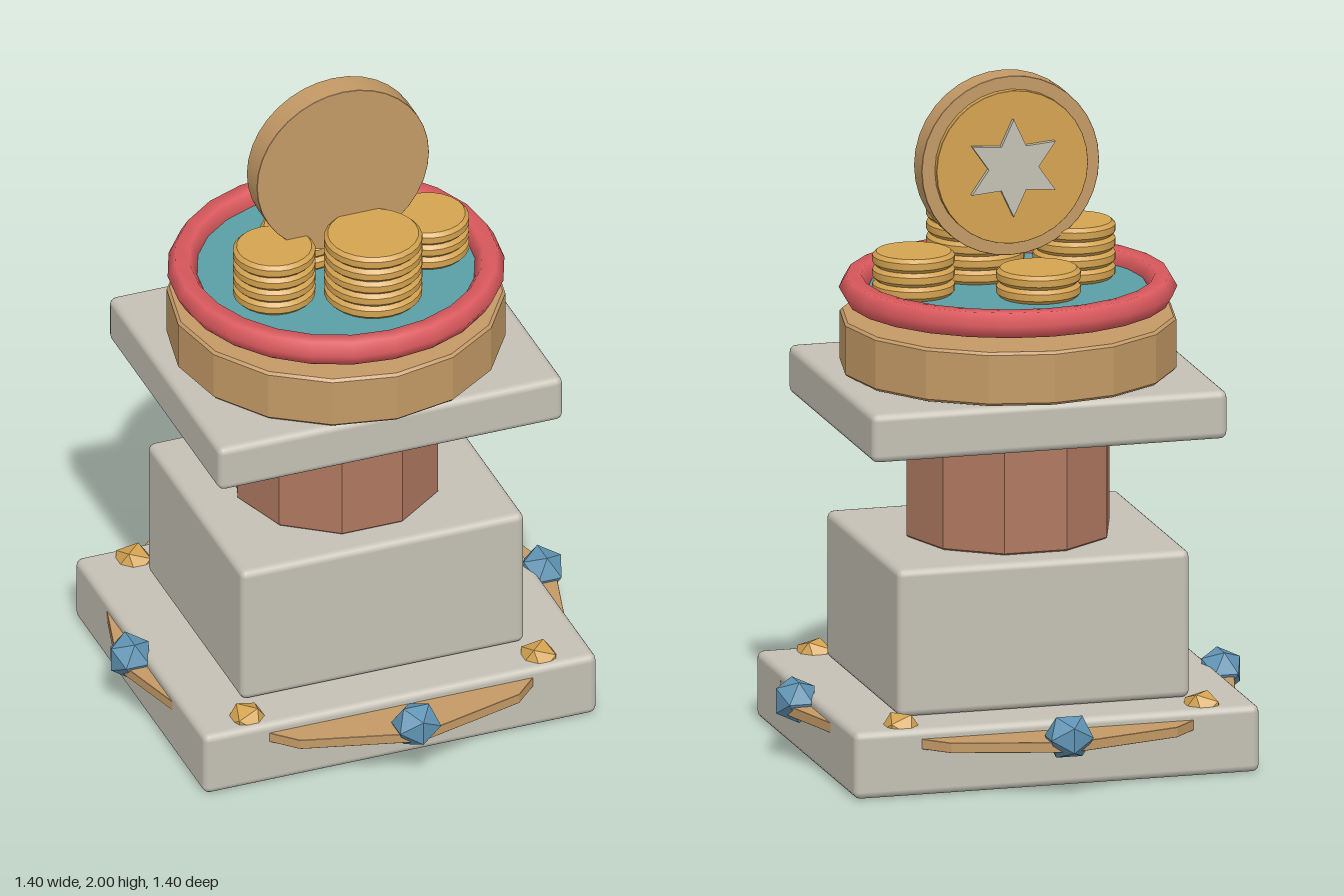
import * as THREE from 'three';
import { RoundedBoxGeometry } from 'three/addons/geometries/RoundedBoxGeometry.js';
import { toCreasedNormals } from 'three/addons/utils/BufferGeometryUtils.js';

const mat = (name, color, flatShading = false) => {
  const m = new THREE.MeshStandardMaterial({ color, flatShading });
  m.name = name;
  return m;
};

export function createModel() {
  const model = new THREE.Group();
  model.name = 'coinPedestal';
  const stone = mat('stone', 0xc4c0b4);
  const bronze = mat('bronze', 0xc49a66);
  const clay = mat('clay', 0xaf7860);
  const red = mat('red', 0xdc5a5e);
  const teal = mat('teal', 0x5a9ea6);
  const gold = mat('gold', 0xd4a350);
  const blue = mat('blueGem', 0x5f93b3);

  const add = (name, geometry, material, x = 0, y = 0, z = 0, parent = model) => {
    const mesh = new THREE.Mesh(geometry, material);
    mesh.name = name;
    mesh.position.set(x, y, z);
    parent.add(mesh);
    return mesh;
  };
  // rounded block between two heights
  const block = (name, w, d, y0, y1) =>
    add(name, new RoundedBoxGeometry(w, y1 - y0, d, 2, 0.022), stone, 0, (y0 + y1) / 2);
  // solid disc standing on y = 0, with chamfered rims
  const disc = (r, h, bevel, sides, crease = 0.3) => {
    const profile = [[0, 0], [r - bevel, 0], [r, bevel], [r, h - bevel], [r - bevel, h], [0, h]];
    const g = new THREE.LatheGeometry(profile.map(p => new THREE.Vector2(...p)), sides);
    return toCreasedNormals(g, crease);
  };

  // stepped base, column and slab
  block('baseSlab', 1.22, 1.04, 0, 0.2);
  block('plinth', 0.88, 0.76, 0.2, 0.64);
  add('column', disc(0.305, 0.345, 0.008, 10), clay, 0, 0.637).rotation.y = Math.PI / 2;
  block('topSlab', 1.07, 0.89, 0.98, 1.125);

  // twelve-sided plate through the base
  add('basePlate', disc(0.68, 0.03, 0.001, 12), bronze, 0, 0.14);

  // gems around the base, alternating blue and gold
  const gem = toCreasedNormals(new THREE.IcosahedronGeometry(0.068, 0), 0.1);
  for (let i = 0; i < 8; i++) {
    const a = i * Math.PI / 4;
    const isBlue = i % 2 === 0;
    const mesh = add(isBlue ? 'blueGem' : 'goldStud', gem, isBlue ? blue : gold,
      0.64 * Math.sin(a), 0.178, 0.64 * Math.cos(a));
    mesh.rotation.y = a;
    if (isBlue) mesh.scale.set(1.1, 1.04, 1);
    else mesh.scale.setScalar(0.95);
  }

  // drum and tray
  add('drum', disc(0.49, 0.16, 0.008, 16), bronze, 0, 1.13);
  add('trayRim', new THREE.TorusGeometry(0.447, 0.043, 6, 24), red, 0, 1.367).rotation.x = Math.PI / 2;
  add('trayFloor', new THREE.CylinderGeometry(0.43, 0.43, 0.02, 24), teal, 0, 1.355);

  // coin stacks: x, z, radius, count
  const pitch = 0.042;
  [[0.048, 0.173, 0.143, 5], [-0.22, 0.072, 0.12, 4],
    [0.282, 0.007, 0.12, 3], [-0.057, -0.12, 0.123, 2]].forEach(([x, z, r, count]) => {
    const stack = new THREE.Group();
    stack.name = 'coinStack';
    stack.position.set(x, 1.365, z);
    model.add(stack);
    const coin = disc(r, pitch, 0.011, 24, 0.5);
    for (let i = 0; i < count; i++) add('coin', coin, gold, 0, i * pitch, 0, stack);
  });

  // large upright coin, its inlay and star on the rear face
  const medal = new THREE.Group();
  medal.name = 'largeCoin';
  medal.position.set(0, 1.733, 0.056);
  medal.rotation.x = -Math.PI / 2;
  model.add(medal);
  add('coinBody', disc(0.267, 0.082, 0.001, 36), bronze, 0, 0, 0, medal);
  add('coinInlay', disc(0.228, 0.022, 0.001, 32), gold, 0, 0.08, 0, medal);

  const points = [];
  for (let i = 0; i < 12; i++) {
    const a = i * Math.PI / 6;
    const r = i % 2 ? 0.075 : 0.145;
    points.push(new THREE.Vector2(-r * Math.sin(a), r * Math.cos(a)));
  }
  const starGeometry = new THREE.ExtrudeGeometry(new THREE.Shape(points), { depth: 0.018, bevelEnabled: false });
  add('star', starGeometry, stone, 0, 0.1, 0, medal).rotation.x = -Math.PI / 2;

  return model;
}
